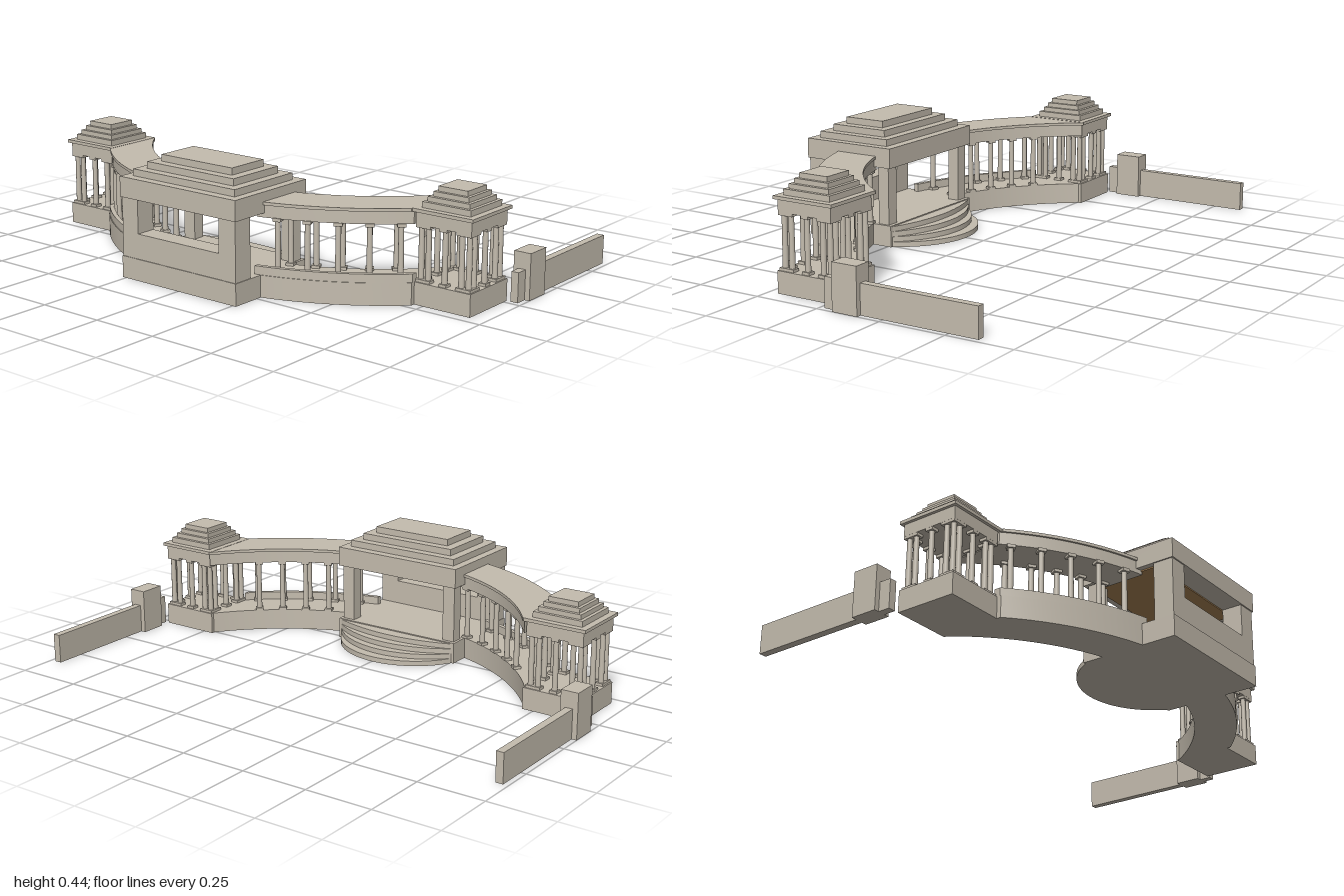
import * as THREE from 'three';
import { toCreasedNormals } from 'three/addons/utils/BufferGeometryUtils.js';

const stone = new THREE.MeshStandardMaterial({ color: 0xc4bcae });
stone.name = 'stone';
const wood = new THREE.MeshStandardMaterial({ color: 0xa88254 });
wood.name = 'wood';

const ARC_Z = -0.52; // centre of the curved wings

function add(parent, name, geometry, material = stone) {
  const mesh = new THREE.Mesh(geometry, material);
  mesh.name = name;
  parent.add(mesh);
  return mesh;
}

// Box given by its limits
function box(parent, name, x0, x1, y0, y1, z0, z1, material) {
  const g = new THREE.BoxGeometry(x1 - x0, y1 - y0, z1 - z0);
  g.translate((x0 + x1) / 2, (y0 + y1) / 2, (z0 + z1) / 2);
  return add(parent, name, g, material);
}

// Plan outline of [x, z] points raised from y0 to y1
function slab(parent, name, points, y0, y1) {
  const shape = new THREE.Shape(points.map(([x, z]) => new THREE.Vector2(x, -z)));
  const g = new THREE.ExtrudeGeometry(shape, { depth: y1 - y0, bevelEnabled: false });
  g.rotateX(-Math.PI / 2).translate(0, y0, 0);
  return add(parent, name, toCreasedNormals(g, 0.5));
}

// Points along a wing arc between two x positions
function arc(side, r, x0, x1, n = 18) {
  const points = [];
  for (let i = 0; i <= n; i++) {
    const x = x0 + (x1 - x0) * i / n;
    points.push([side * x, ARC_Z + Math.sqrt(r * r - x * x)]);
  }
  return points;
}

function wingSlab(parent, name, side, rIn, rOut, y0, y1, x1) {
  const points = [...arc(side, rOut, 0.24, x1), ...arc(side, rIn, 0.24, x1).reverse()];
  return slab(parent, name, points, y0, y1);
}

// Round column with square plinth and capital
function column(parent, x, z, turn = 0, r = 0.0105, y0 = 0.08, y1 = 0.282) {
  const c = new THREE.Group();
  c.name = 'column';
  c.position.set(x, 0, z);
  c.rotation.y = turn;
  const w = r * 1.4;
  box(c, 'plinth', -w, w, y0, y0 + 0.01, -w, w);
  box(c, 'capital', -w, w, y1 - 0.012, y1, -w, w);
  const shaft = add(c, 'shaft', new THREE.CylinderGeometry(r * 0.9, r, y1 - y0 - 0.02, 14));
  shaft.position.y = (y0 + y1) / 2;
  parent.add(c);
}

function centralHall() {
  const g = new THREE.Group();
  g.name = 'centralHall';
  box(g, 'base', -0.265, 0.265, 0, 0.08, 0.235, 0.61);
  // Front wall with its wide opening
  box(g, 'sill', -0.262, 0.262, 0.08, 0.172, 0.53, 0.607);
  for (const s of [-1, 1]) {
    const [a, b] = s > 0 ? [0.188, 0.262] : [-0.262, -0.188];
    box(g, 'frontPier', a, b, 0.172, 0.297, 0.53, 0.607);
    const [c, d] = s > 0 ? [0.205, 0.255] : [-0.255, -0.205];
    box(g, 'rearPier', c, d, 0.08, 0.297, 0.25, 0.295);
  }
  // Roof slab, wooden ceiling and stepped top
  box(g, 'roofSlab', -0.267, 0.267, 0.296, 0.37, 0.235, 0.612);
  box(g, 'ceiling', -0.245, 0.245, 0.291, 0.297, 0.26, 0.53, wood);
  [[0.235, 0.153], [0.2, 0.118], [0.163, 0.083]].forEach(([hx, hz], i) =>
    box(g, 'roofTier', -hx, hx, 0.37 + i * 0.025, 0.395 + i * 0.025, 0.424 - hz, 0.424 + hz));
  // Fan of curved rear steps
  [0.157, 0.117, 0.083, 0.048].forEach((sag, i) => {
    const half = 0.255;
    const r = (half * half + sag * sag) / (2 * sag);
    const zc = 0.235 - sag + r;
    const points = [[half, 0.25], [-half, 0.25]];
    for (let k = 0; k <= 28; k++) {
      const x = -half + 2 * half * k / 28;
      points.push([x, zc - Math.sqrt(Math.max(0, r * r - x * x))]);
    }
    slab(g, 'rearStep', points, 0, 0.019 * (i + 1));
  });
  return g;
}

function wing(side) {
  const g = new THREE.Group();
  g.name = side > 0 ? 'leftWing' : 'rightWing';
  wingSlab(g, 'wingBase', side, 0.875, 1.035, 0, 0.08, 0.715);
  wingSlab(g, 'parapet', side, 1.015, 1.032, 0.08, 0.11, 0.715);
  wingSlab(g, 'beam', side, 0.867, 1.017, 0.28, 0.325, 0.708);
  wingSlab(g, 'cornice', side, 0.86, 1.024, 0.325, 0.336, 0.705);
  // Two rows of columns standing on common radii
  for (let i = 0; i < 5; i++) {
    const a = THREE.MathUtils.degToRad(17.8 + i * 6) * side;
    for (const r of [0.885, 1.007])
      column(g, Math.sin(a) * r, ARC_Z + Math.cos(a) * r, a);
  }
  return g;
}

function pavilion(side) {
  const g = new THREE.Group();
  g.name = side > 0 ? 'leftPavilion' : 'rightPavilion';
  g.position.set(side * 0.823, 0, 0.097);
  const tier = (name, h, y0, y1) => box(g, name, -h, h, y0, y1, -h, h);
  tier('base', 0.115, 0, 0.08);
  tier('beam', 0.11, 0.28, 0.325);
  tier('cornice', 0.121, 0.325, 0.337);
  tier('roofTier', 0.096, 0.337, 0.358);
  tier('roofTier', 0.083, 0.358, 0.375);
  tier('roofTier', 0.07, 0.375, 0.392);
  tier('roofTier', 0.058, 0.392, 0.41);
  // Three columns at each corner, one midway on each side
  const e = 0.095, n = 0.066;
  for (const sx of [-1, 1]) {
    for (const sz of [-1, 1])
      for (const [x, z] of [[e, e], [n, e], [e, n]]) column(g, sx * x, sz * z);
    column(g, sx * e, 0);
    column(g, 0, sx * e);
  }
  return g;
}

function gardenWall(side) {
  const g = new THREE.Group();
  g.name = side > 0 ? 'leftGardenWall' : 'rightGardenWall';
  g.position.x = side * 0.967;
  box(g, 'wall', -0.014, 0.014, 0, 0.108, -0.612, -0.018);
  box(g, 'wallPost', -0.033, 0.033, 0, 0.168, -0.163, -0.063);
  return g;
}

export function createModel() {
  const model = new THREE.Group();
  model.name = 'curvedColonnade';
  model.add(centralHall());
  for (const side of [1, -1]) model.add(wing(side), pavilion(side), gardenWall(side));
  return model;
}
